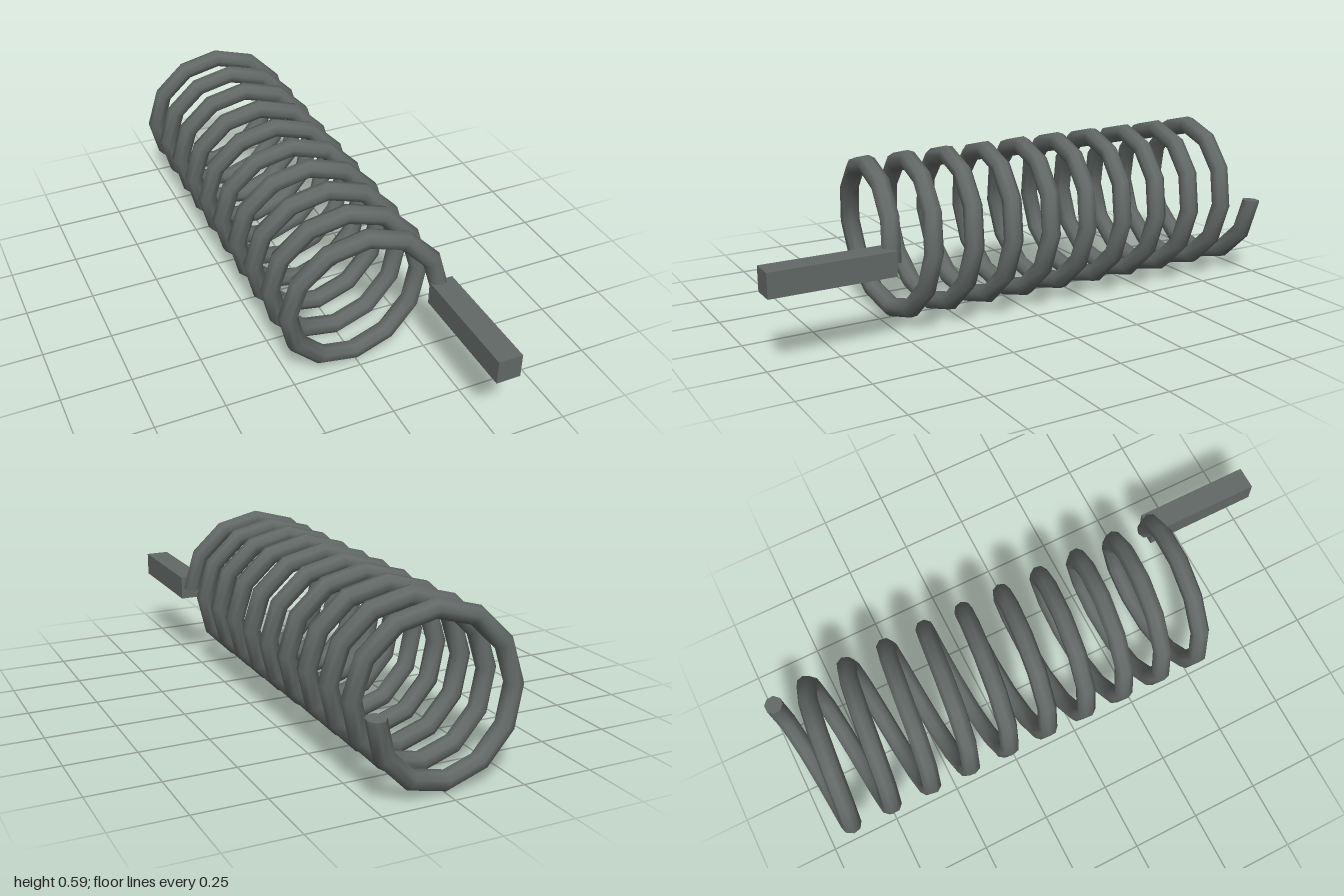
import * as THREE from 'three';

const CX = -0.005, CY = 0.298, RADIUS = 0.263, WIRE = 0.034;
const Z_FRONT = 0.565, Z_BACK = -0.967;
const TURNS = 10, STEPS = 12, SIDES = 8;

// Helix running from the front to the back, starting on the +x side
class Helix extends THREE.Curve {
  getPoint(t, target = new THREE.Vector3()) {
    const a = t * TURNS * Math.PI * 2;
    return target.set(
      CX + RADIUS * Math.cos(a),
      CY + RADIUS * Math.sin(a),
      Z_FRONT + (Z_BACK - Z_FRONT) * t
    );
  }
}

export function createModel() {
  const group = new THREE.Group();
  group.name = 'coilSpring';
  const steel = new THREE.MeshStandardMaterial({ color: 0x626967 });
  steel.name = 'dark steel';

  const add = (name, geometry) => {
    const mesh = new THREE.Mesh(geometry, steel);
    mesh.name = name;
    group.add(mesh);
    return mesh;
  };

  // Coil: twelve straight segments per turn
  const helix = new Helix();
  const tube = new THREE.TubeGeometry(helix, TURNS * STEPS, WIRE, SIDES, false);
  add('coil', tube);

  // Flat caps made from the first and last rings of the wire
  const pos = tube.attributes.position;
  [['coilFrontCap', 0], ['coilBackCap', TURNS * STEPS]].forEach(([name, ring]) => {
    const points = [];
    for (let i = 0; i < SIDES; i++) {
      points.push(new THREE.Vector3().fromBufferAttribute(pos, ring * (SIDES + 1) + i));
    }
    const outward = helix.getTangentAt(ring ? 1 : 0).multiplyScalar(ring ? 1 : -1);
    const facing = points[1].clone().sub(points[0]).cross(points[2].clone().sub(points[0]));
    if (facing.dot(outward) < 0) points.reverse();
    const cap = new THREE.BufferGeometry().setFromPoints(points);
    const index = [];
    for (let i = 1; i < SIDES - 1; i++) index.push(0, i, i + 1);
    cap.setIndex(index);
    cap.computeVertexNormals();
    add(name, cap);
  });

  // Square bar reaching forward from the start of the coil
  const length = 1 - 0.565;
  add('bar', new THREE.BoxGeometry(0.086, 0.086, length))
    .position.set(CX + RADIUS, 0.3, 1 - length / 2);

  return group;
}
